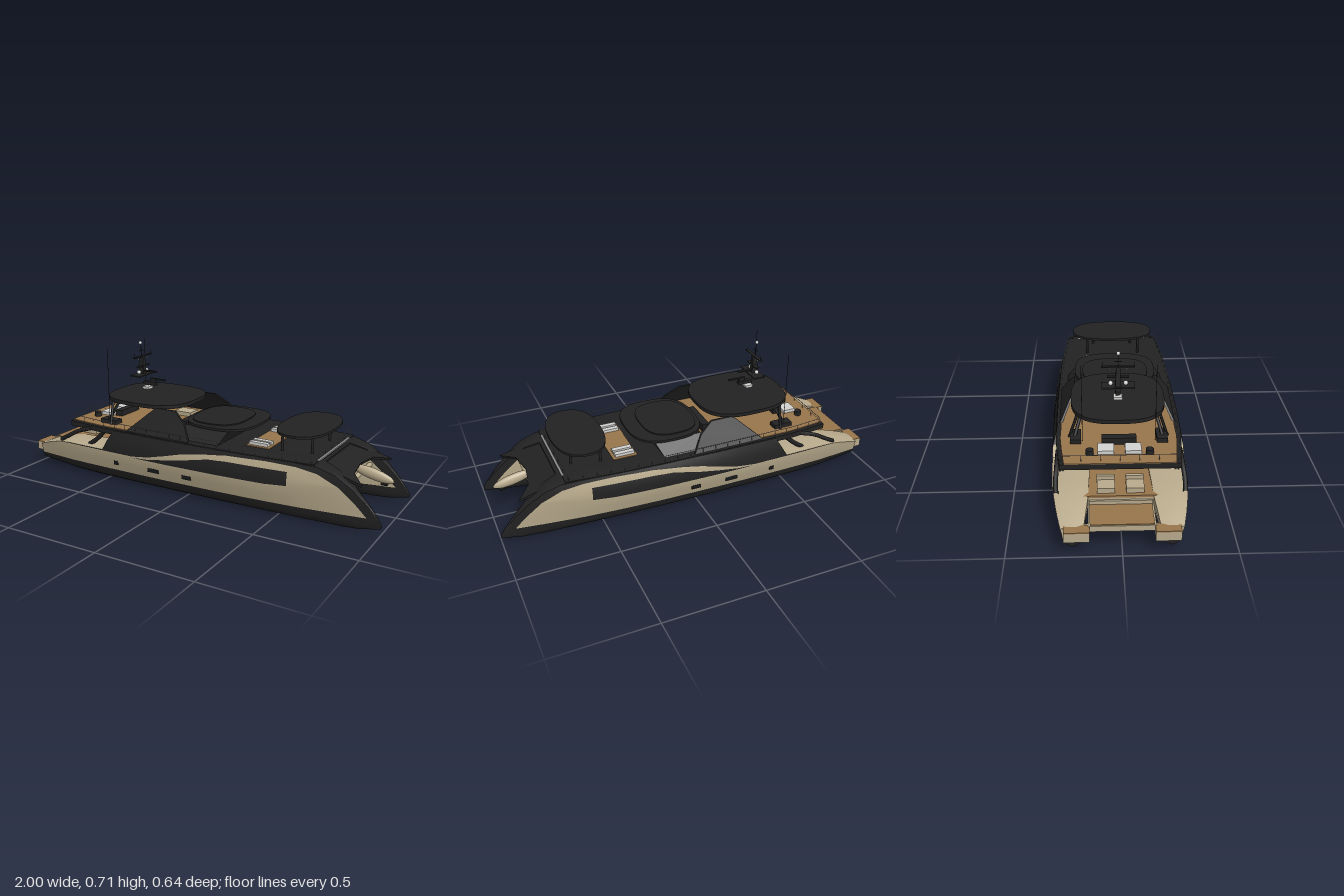
import * as THREE from 'three';
import { toCreasedNormals } from 'three/addons/utils/BufferGeometryUtils.js';

const paint = (name, color, side = THREE.FrontSide) => {
  const m = new THREE.MeshStandardMaterial({ color, side });
  m.name = name;
  return m;
};

// Linear lookup in a table of [position, value] pairs
function look(t, x) {
  if (x <= t[0][0]) return t[0][1];
  for (let i = 1; i < t.length; i++) if (x <= t[i][0])
    return t[i - 1][1] + (t[i][1] - t[i - 1][1]) * (x - t[i - 1][0]) / (t[i][0] - t[i - 1][0]);
  return t[t.length - 1][1];
}
const mix = (a, b, t) => a + (b - a) * t;

// Hull lines along x
const C = 0.215;
const SHEER = [[-.96, .118], [-.9, .14], [-.8, .167], [-.72, .175], [-.49, .177], [-.43, .283], [.6, .286], [.7, .279], [.78, .254], [.86, .2], [.93, .132], [.98, .072], [1, .04]];
const KEEL = [[-.96, .025], [-.7, .004], [-.5, 0], [.8, 0], [.9, .006], [1, .028]];
const TAN_TOP = [[-.3, .172], [-.2, .185], [-.1, .21], [0, .235], [.1, .252], [.25, .268], [.45, .273], [.6, .268], [.7, .25], [.8, .2], [.88, .125], [.93, .068]];
const WIN_LOW = [[.45, .165], [.56, .172], [.75, .195]];
const WIN_TOP = [[-.3, .165], [-.2, .172], [0, .205], [.15, .235], [.25, .24], [.56, .24], [.75, .2]];
const OUT_W = [[-.96, .6], [-.85, .75], [-.7, .9], [-.4, .97], [-.1, 1], [.2, .95], [.4, .85], [.6, .67], [.8, .36], [.93, .12], [1, .03]];
const IN_W = [[-.96, .65], [-.8, .9], [-.6, 1], [.5, 1], [.7, .75], [.8, .45], [.93, .14], [1, .03]];
const OUT_P = [[0, 0], [.006, .03], [.02, .053], [.04, .066], [.065, .072], [.12, .093], [.16, .101], [.2, .105], [.25, .095], [.285, .08]];
const IN_P = [[0, 0], [.006, .03], [.02, .052], [.04, .065], [.065, .07], [.1, .078], [.285, .08]];
const outerZ = (x, y) => C + look(OUT_P, y - look(KEEL, x)) * look(OUT_W, x);

function hullGeometry(s) {
  const xs = [-.96, -.93, -.9, -.85, -.8, -.72, -.6, -.49, -.46, -.43, -.3, -.25, -.2, -.1, 0, .1, .15, .2, .25, .35, .45, .56, .6, .65, .7, .75, .78, .8, .83, .86, .88, .905, .93, .955, .98, 1];
  const pos = [], dark = [], tan = [];
  const n = 26; // points per ring
  for (const x of xs) {
    const k = look(KEEL, x), top = look(SHEER, x), wl = Math.min(.068, top);
    const tt = Math.max(wl, Math.min(look(TAN_TOP, x), top));
    const wb = Math.max(wl, Math.min(look(WIN_LOW, x), tt)), wt = Math.max(wb, Math.min(look(WIN_TOP, x), tt));
    const ys = [k, mix(k, wl, .09), mix(k, wl, .3), mix(k, wl, .6), wl, mix(wl, wb, .5), wb, mix(wb, wt, .5), wt, tt, mix(tt, top, .5), top];
    const zi = y => C - look(IN_P, y - k) * look(IN_W, x);
    for (const y of ys) pos.push(x, y, s * outerZ(x, y));
    for (const t of [.3, .7]) pos.push(x, top + .006, s * mix(outerZ(x, top), zi(top), t));
    for (const y of ys.slice().reverse()) pos.push(x, y, s * zi(y));
  }
  const tri = (list, a, b, c) => s > 0 ? list.push(a, b, c) : list.push(a, c, b);
  const band = (j, x) => {
    if (j >= 11 && j <= 13) return x < -.46 ? tan : dark;
    const outside = j < 11, r = outside ? j : 24 - j;
    if (r < 4 || r > 8) return dark;
    if ((r === 6 || r === 7) && outside && x > -.3 && x < .56) return dark;
    return tan;
  };
  for (let i = 0; i < xs.length - 1; i++) for (let j = 0; j < n - 1; j++) {
    const a = i * n + j, list = band(j, (xs[i] + xs[i + 1]) / 2);
    tri(list, a, a + n, a + n + 1);
    tri(list, a, a + n + 1, a + 1);
  }
  // Closed stern and stem
  const end = (xs.length - 1) * n, mid = pos.length / 3;
  pos.push(-.96, .07, s * C, 1, .035, s * C);
  for (let j = 0; j < n - 1; j++) {
    tri(band(j, -.96), mid, j, j + 1);
    tri(dark, mid + 1, end + j + 1, end + j);
  }
  const g = new THREE.BufferGeometry();
  g.setAttribute('position', new THREE.Float32BufferAttribute(pos, 3));
  g.setIndex([...dark, ...tan]);
  g.addGroup(0, dark.length, 0);
  g.addGroup(dark.length, tan.length, 1);
  return toCreasedNormals(g, .6);
}

export function createModel() {
  const root = new THREE.Group();
  const black = paint('black paint', 0x222222), sand = paint('sand paint', 0xb8aa8c), wood = paint('teak', 0x98754c);
  const white = paint('white cushion', 0xd2d2d0), metal = paint('metal', 0x8c8c8c), glass = paint('dark glass', 0x17181a);
  const add = (name, geo, mat) => {
    const m = new THREE.Mesh(geo, mat);
    m.name = name;
    root.add(m);
    return m;
  };
  // Box given by its limits
  const box = (name, mat, x0, x1, y0, y1, z0, z1) => {
    const m = add(name, new THREE.BoxGeometry(x1 - x0, y1 - y0, z1 - z0), mat);
    m.position.set((x0 + x1) / 2, (y0 + y1) / 2, (z0 + z1) / 2);
    return m;
  };
  // Flat plate from a plan outline of [x, z]
  const slab = (name, mat, pts, y0, y1) => {
    const shape = new THREE.Shape(pts.map(([x, z]) => new THREE.Vector2(x, -z)));
    const g = new THREE.ExtrudeGeometry(shape, { depth: y1 - y0, bevelEnabled: false });
    add(name, g.rotateX(-Math.PI / 2).translate(0, y0, 0), mat);
  };
  const tube = (name, mat, pts, r, seg = 1, sides = 8) => {
    const path = new THREE.CatmullRomCurve3(pts.map(p => new THREE.Vector3(...p)));
    return add(name, new THREE.TubeGeometry(path, seg, r, sides), mat);
  };
  const oval = (cx, a, b, p) => Array.from({ length: 48 }, (_, i) => {
    const t = i / 48 * Math.PI * 2, c = Math.cos(t), s = Math.sin(t);
    return [cx + a * Math.sign(c) * Math.abs(c) ** (2 / p), b * Math.sign(s) * Math.abs(s) ** (2 / p)];
  });
  // Box whose top is a smaller rectangle
  const taper = (name, mat, low, high, y0, y1) => {
    const g = new THREE.BoxGeometry(1, 1, 1).toNonIndexed(), p = g.attributes.position;
    for (let i = 0; i < p.count; i++) {
      const up = p.getY(i) > 0, q = up ? high : low;
      p.setXYZ(i, p.getX(i) > 0 ? q[1] : q[0], up ? y1 : y0, Math.sign(p.getZ(i)) * q[2]);
    }
    g.computeVertexNormals();
    return add(name, g, mat);
  };
  const deckZ = x => x < -.43 ? mix(.27, .292, Math.min(1, (x + .73) / .2)) : outerZ(x, .283) - .002;
  const plan = (xs, inset) => [...xs.map(x => [x, deckZ(x) - inset]), ...xs.slice().reverse().map(x => [x, inset - deckZ(x)])];

  // Bridge between the hulls
  box('wetDeck', sand, -.8, .7, .113, .16, -.16, .16);
  taper('bowWedge', sand, [.6, .72, .03], [.6, .76, .07], .12, .142);
  box('mainCabin', black, -.46, .68, .16, .285, -.2, .2);
  box('aftGlassDoor', glass, -.465, -.46, .17, .265, -.15, .15);
  box('mainDeck', wood, -.8, -.46, .16, .17, -.24, .24);
  const fore = taper('foredeck', black, [.66, .7, .17], [.66, .7, .17], .14, .28);
  fore.name = 'foredeckFront';
  slab('trampoline', black, [[.66, .2], [.75, .21], [.9, .212], [.83, .13], [.81, 0], [.83, -.13], [.9, -.212], [.75, -.21], [.66, -.2]], 0, .012);
  const net = root.children[root.children.length - 1];
  net.rotation.z = -.28;
  net.position.set(.03, .453, 0);
  tube('crossBeam', sand, [[.8, .175, -.21], [.8, .175, .21]], .012, 1, 12);
  const sprit = add('bowsprit', new THREE.SphereGeometry(1, 20, 12), sand);
  sprit.scale.set(.105, .028, .02);
  sprit.position.set(.878, .199, 0);
  sprit.rotation.z = -.22;
  box('anchor', black, .92, .95, .155, .163, -.012, .012);

  // Upper deck and its surfaces
  const aft = [-.73, -.6, -.5, -.43, -.3, -.2, -.07], forward = [-.07, .1, .25, .4, .55, .68];
  slab('upperDeck', black, plan([...aft, ...forward.slice(1)], 0), .262, .289);
  slab('upperDeckTeak', wood, plan(aft, .02), .289, .293);
  box('loungeTeak', wood, .285, .41, .289, .293, -.17, .17);
  box('deckSeam', metal, .672, .682, .286, .291, -.2, .2);

  // Forward house and its roof
  taper('forwardHouse', black, [-.07, .17, .25], [-.05, .2, .19], .289, .352);
  slab('forwardRoof', black, oval(.1, .19, .21, 2.8), .352, .364);
  slab('forwardRoofCrown', black, oval(.07, .14, .17, 2.8), .364, .37);

  // Flybridge roof
  slab('flybridgeRoof', black, oval(-.345, .245, .222, 2.8), .411, .43);
  slab('flybridgeCeiling', wood, oval(-.345, .22, .2, 2.8), .408, .411);
  slab('bowCanopy', black, oval(.55, .132, .225, 2.4), .384, .396);
  slab('bowCanopyCeiling', wood, oval(.55, .118, .205, 2.4), .381, .384);

  for (const s of [1, -1]) {
    add('hull', hullGeometry(s), [black, sand]);
    // Leaning wing beside the helm
    const wing = new THREE.Shape([[-.36, .289], [.02, .289], [-.03, .365], [-.1, .415], [-.22, .415]].map(p => new THREE.Vector2(...p)));
    const wg = new THREE.ExtrudeGeometry(wing, { depth: .012, bevelEnabled: false }), wp = wg.attributes.position;
    for (let i = 0; i < wp.count; i++) wp.setZ(i, wp.getZ(i) - .006 + s * mix(.272, .2, (wp.getY(i) - .289) / .126));
    wg.computeVertexNormals();
    add('helmWing', wg, black);
    // Roof struts and canopy posts
    tube('roofStrut', black, [[-.53, .289, s * .21], [-.47, .415, s * .17]], .008);
    tube('roofStrut', black, [[-.49, .289, s * .23], [-.5, .415, s * .19]], .007);
    for (const [x, z] of [[.47, .145], [.61, .11]]) tube('canopyPost', black, [[x, .285, s * z], [x, .388, s * z]], .007);
    // Aft arm sweeping up to the upper deck
    tube('aftArm', black, [[-.79, .178, s * .285], [-.74, .205, s * .288], [-.67, .243, s * .284], [-.58, .272, s * .28]], .011, 16);
    tube('aftFin', black, [[-.61, .175, s * .265], [-.56, .21, s * .27], [-.5, .265, s * .275]], .012, 10);
    // Hull ports
    for (const [x0, x1] of [[-.42, -.395], [-.205, -.14], [0, .05]]) {
      const z = outerZ((x0 + x1) / 2, .115);
      box('hullPort', glass, x0, x1, .105, .125, s * z - .004, s * z + .004);
    }
    // Stern steps
    const step = (n, m, x0, x1, y0, y1) => box(n, m, x0, x1, y0, y1, s > 0 ? .14 : -.25, s > 0 ? .25 : -.14);
    step('sternStep', sand, -1, -.93, .076, .12);
    step('sternStepTeak', wood, -1, -.945, .12, .125);
    // Furniture
    box('aftSofa', sand, -.78, -.7, .17, .195, s * .065 - .04, s * .065 + .04);
    box('aftSofaBack', sand, -.71, -.695, .17, .215, s * .065 - .04, s * .065 + .04);
    box('sunLounger', white, -.655, -.585, .293, .31, s * .062 - .037, s * .062 + .037);
    box('bowLounger', white, .295, .395, .293, .308, s * .14 - .013, s * .14 + .013);
    box('bowLounger', white, .295, .395, .293, .308, s * .1 - .013, s * .1 + .013);
    box('flybridgeSofa', black, -.56, -.46, .293, .315, s * .2 - .025, s * .2 + .025);
    box('helmSofa', sand, -.3, -.2, .293, .315, s * .14 - .04, s * .14 + .04);
    const stool = add('stool', new THREE.CylinderGeometry(.018, .018, .025, 16), black);
    stool.position.set(-.65, .305, s * .135);
    tube('whipAntenna', black, [[-.545, .3, s * .168], [-.545, .683, s * .168]], .0015, 1, 5);
    // Side rails
    const rail = [];
    for (let x = -.7; x < .67; x += .068) {
      rail.push([x, .323, s * (deckZ(x) - .008)]);
      tube('railPost', metal, [[x, .286, s * (deckZ(x) - .008)], rail[rail.length - 1]], .0013, 1, 4);
    }
    tube('sideRail', metal, rail, .0017, 40, 5);
  }

  // End rails
  for (const x of [-.71, .665]) {
    const w = deckZ(x) - .012;
    tube('endRail', metal, [[x, .323, -w], [x, .323, w]], .0017, 1, 5);
    for (let i = 0; i < 7; i++) tube('railPost', metal, [[x, .286, mix(-w, w, i / 6)], [x, .323, mix(-w, w, i / 6)]], .0013, 1, 4);
  }
  for (const z of [-.07, .07]) box('frontWindowSeam', white, .7, .702, .145, .228, z - .001, z + .001);
  box('bar', black, -.57, -.53, .293, .325, -.08, .08);
  box('helmConsole', black, -.14, -.1, .293, .335, -.1, .1);

  // Swim platform
  box('swimPlatform', sand, -.96, -.78, .1, .128, -.145, .145);
  box('swimPlatformTeak', wood, -.955, -.8, .128, .132, -.138, .138);
  box('boardingStep', sand, -.81, -.78, .128, .15, -.14, .14);

  // Mast and instruments
  taper('mast', black, [-.46, -.425, .014], [-.45, -.43, .009], .528, .626);
  box('mastPlatform', black, -.468, -.405, .525, .532, -.077, .077);
  box('mastArm', black, -.43, -.35, .543, .549, -.008, .008);
  box('middleSpreader', black, -.445, -.425, .571, .576, -.05, .05);
  box('topSpreader', black, -.447, -.43, .624, .629, -.077, .077);
  tube('topPole', black, [[-.445, .626, 0], [-.45, .692, 0]], .002, 1, 6);
  box('shortSpreader', black, -.449, -.444, .653, .656, -.017, .017);
  box('radarBar', black, -.39, -.295, .504, .511, -.006, .006);
  box('radarBase', black, -.43, -.35, .474, .49, -.012, .012);
  box('radarNeck', black, -.385, -.355, .49, .506, -.007, .007);
  box('searchLight', white, -.43, -.39, .45, .463, -.02, .02);
  const ball = (r, x, y, z) => add('dome', new THREE.SphereGeometry(r, 16, 12), white).position.set(x, y, z);
  ball(.009, -.452, .697, 0);
  for (const s of [1, -1]) {
    ball(.011, -.44, .543, s * .035);
    ball(.003, -.438, .613, s * .04);
    tube('mastAerial', black, [[-.438, .626, s * .073], [-.438, .65, s * .073]], .001, 1, 5);
  }
  return root;
}
